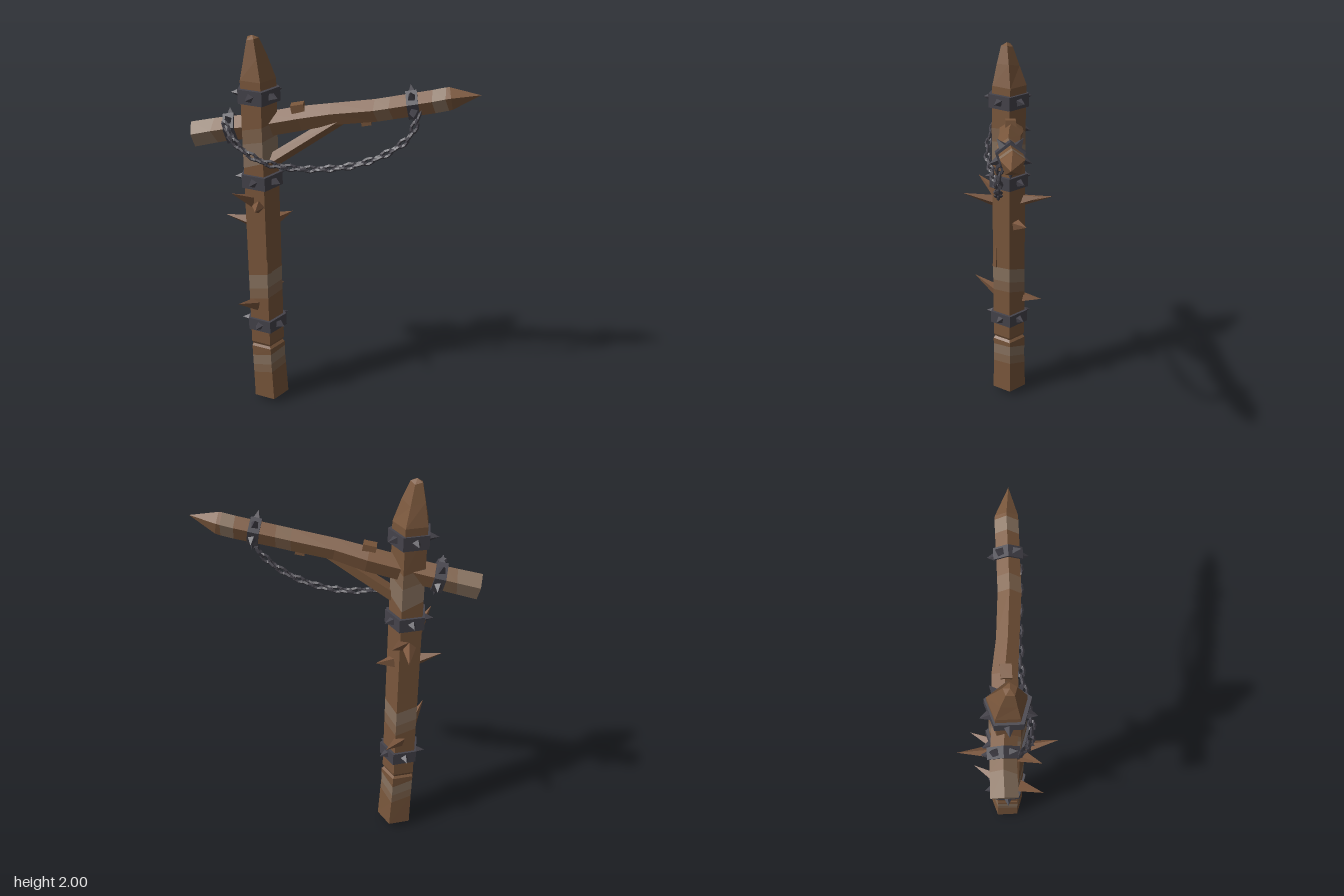
import * as THREE from 'three';

const mat = (name, color) => new THREE.MeshStandardMaterial({ name, color, flatShading: true });
const V = (x, y, z) => new THREE.Vector3(x, y, z);

export function createModel() {
  const wood = mat('wood', 0x7a573c);
  const midWood = mat('worn wood', 0x80644d);
  const paleWood = mat('pale wood', 0x88725f);
  const thornWood = mat('thorn wood', 0x7d583f);
  const iron = mat('dark iron', 0x45434b);
  const woods = [wood, midWood, paleWood];

  const root = new THREE.Group();
  root.name = 'spikedPost';
  const add = (name, geo, material, parent = root) => {
    const m = new THREE.Mesh(geo, material);
    m.name = name;
    parent.add(m);
    return m;
  };

  // Five-sided log through stations [x, y, z, radius, jag, woodIndex of the next span]
  const zigzag = [0.8, -0.8, 0.7, -1, 0.3];
  function log(name, stations, u, v) {
    const axis = u.clone().cross(v);
    const rings = stations.map(([x, y, z, r, jag]) => zigzag.map((k, j) => {
      const a = j / 5 * Math.PI * 2;
      return V(x, y, z).addScaledVector(u, r * Math.cos(a))
        .addScaledVector(v, r * Math.sin(a)).addScaledVector(axis, jag * k);
    }));
    const pts = [];
    const geo = new THREE.BufferGeometry();
    for (let i = 0; i < rings.length - 1; i++) {
      geo.addGroup(pts.length, 30, stations[i][5]);
      for (let j = 0; j < 5; j++) {
        const k = (j + 1) % 5;
        const a = rings[i][j], b = rings[i][k], c = rings[i + 1][k], d = rings[i + 1][j];
        pts.push(a, b, c, a, c, d);
      }
    }
    geo.setFromPoints(pts);
    geo.computeVertexNormals();
    return add(name, geo, woods);
  }

  // Upright post with worn bands, a notch and a tapered top
  log('post', [
    [-0.325, 0, 0, 0, 0, 0],
    [-0.335, 0.03, 0, 0.095, 0, 0],
    [-0.34, 0.2, 0, 0.091, 0.02, 1],
    [-0.342, 0.25, 0, 0.09, 0.02, 2],
    [-0.343, 0.31, 0, 0.09, 0.02, 0],
    [-0.343, 0.352, 0, 0.091, 0, 0],
    [-0.345, 0.364, 0, 0.08, 0, 0],
    [-0.345, 0.38, 0, 0.089, 0, 0],
    [-0.345, 0.66, 0, 0.089, 0.02, 1],
    [-0.345, 0.72, 0, 0.089, 0.02, 2],
    [-0.345, 0.8, 0, 0.089, 0.02, 0],
    [-0.345, 1.4, 0, 0.088, 0.03, 2],
    [-0.345, 1.51, 0, 0.088, 0.02, 1],
    [-0.345, 1.58, 0, 0.088, 0.02, 0],
    [-0.345, 1.8, -0.005, 0.088, 0, 0],
    [-0.352, 1.9, 0, 0.058, 0.01, 0],
    [-0.358, 1.985, 0.005, 0.03, 0.005, 0],
    [-0.358, 2, 0.005, 0, 0, 0],
  ], V(1, 0, 0), V(0, 0, -1));

  // Sloping crossbeam, sawn at one end and sharpened at the other
  const slope = 0.185;
  const up = V(-Math.sin(slope), Math.cos(slope), 0);
  log('crossbeam', [
    [-0.664, 1.503, -0.03, 0, 0, 2],
    [-0.664, 1.503, -0.03, 0.063, 0, 2],
    [-0.56, 1.525, -0.03, 0.061, 0.012, 1],
    [-0.5, 1.537, -0.028, 0.06, 0.008, 0],
    [-0.34, 1.565, -0.012, 0.06, 0, 0],
    [-0.15, 1.608, -0.005, 0.06, 0, 0],
    [0, 1.642, 0.015, 0.053, 0, 0],
    [0.2, 1.672, 0.032, 0.054, 0.008, 1],
    [0.27, 1.686, 0.033, 0.054, 0.008, 0],
    [0.46, 1.723, 0.034, 0.055, 0.006, 2],
    [0.52, 1.737, 0.034, 0.055, 0.006, 0],
    [0.54, 1.741, 0.035, 0.053, 0, 0],
    [0.672, 1.765, 0.05, 0, 0, 0],
  ], up, V(0, 0, 1));

  // Tapered bar between two points
  function bar(name, a, b, r0, r1, sides, material) {
    const d = b.clone().sub(a);
    const m = add(name, new THREE.CylinderGeometry(r1, r0, d.length(), sides), material);
    m.position.copy(a).addScaledVector(d, 0.5);
    m.quaternion.setFromUnitVectors(V(0, 1, 0), d.normalize());
  }
  bar('brace', V(-0.29, 1.4, 0.02), V(0.04, 1.625, 0.02), 0.037, 0.032, 5, wood);
  bar('postSplinter', V(-0.315, 0.81, 0.07), V(-0.31, 0.95, 0.068), 0.018, 0.004, 4, wood);

  // Splinters on the beam
  for (const [x, y, z, w, h, d] of [
    [-0.158, 1.66, 0.0, 0.062, 0.045, 0.05],
    [0.16, 1.618, 0.03, 0.045, 0.03, 0.045],
  ]) {
    const chip = add('beamSplinter', new THREE.BoxGeometry(w, h, d), wood);
    chip.position.set(x, y, z);
    chip.rotation.z = slope;
  }

  // Thorns: base point and tip
  for (const [bx, by, bz, tx, ty, tz] of [
    [-0.35, 1.175, 0.06, -0.338, 1.23, 0.235],
    [-0.36, 1.17, -0.06, -0.364, 1.185, -0.235],
    [-0.39, 1.2, 0.05, -0.46, 1.28, 0.15],
    [-0.33, 1.19, -0.06, -0.28, 1.22, -0.17],
    [-0.4, 1.065, 0.0, -0.523, 1.1, 0.01],
    [-0.29, 1.065, -0.03, -0.205, 1.085, -0.085],
    [-0.385, 0.61, 0.05, -0.453, 0.685, 0.18],
    [-0.34, 0.6, -0.06, -0.272, 0.62, -0.172],
  ]) bar('thorn', V(bx, by, bz), V(tx, ty, tz), 0.034, 0, 4, thornWood);

  // Iron collar with a stud on each face
  function collar(name, x, y, z, r, h, tilt) {
    const g = new THREE.Group();
    g.name = name;
    g.position.set(x, y, z);
    g.rotation.z = tilt;
    add('band', new THREE.CylinderGeometry(r, r, h, 5, 1, false, Math.PI / 2), iron, g);
    for (let i = 0; i < 5; i++) {
      const a = (i + 0.5) / 5 * Math.PI * 2;
      const out = V(Math.cos(a), 0, Math.sin(a));
      const stud = add('stud', new THREE.ConeGeometry(0.023, 0.045, 4), iron, g);
      stud.position.copy(out).multiplyScalar(r * 0.809 + 0.02);
      stud.quaternion.setFromUnitVectors(V(0, 1, 0), out);
    }
    root.add(g);
  }
  for (const y of [0.495, 1.305, 1.728]) collar('postCollar', -0.343, y, 0, 0.104, 0.068, 0);
  collar('beamCollarRight', -0.48, 1.542, -0.026, 0.074, 0.052, Math.PI / 2 + slope);
  collar('beamCollarLeft', 0.37, 1.706, 0.034, 0.068, 0.052, Math.PI / 2 + slope);

  // Hanging chain of alternating links
  const path = new THREE.CatmullRomCurve3([
    V(-0.49, 1.575, 0.05), V(-0.44, 1.505, 0.085), V(-0.33, 1.435, 0.105), V(-0.2, 1.398, 0.09),
    V(-0.07, 1.388, 0.075), V(0.1, 1.412, 0.075), V(0.25, 1.475, 0.08),
    V(0.36, 1.57, 0.085), V(0.395, 1.66, 0.08),
  ]);
  const linkGeo = new THREE.TorusGeometry(0.014, 0.0075, 4, 8);
  linkGeo.scale(1.75, 1, 1);
  const chain = new THREE.Group();
  chain.name = 'chain';
  root.add(chain);
  const count = 23;
  for (let i = 0; i <= count; i++) {
    const link = add('link', linkGeo, iron, chain);
    link.position.copy(path.getPointAt(i / count));
    link.quaternion.setFromUnitVectors(V(1, 0, 0), path.getTangentAt(i / count));
    link.rotateX(i % 2 ? Math.PI / 2 : 0);
  }

  return root;
}
